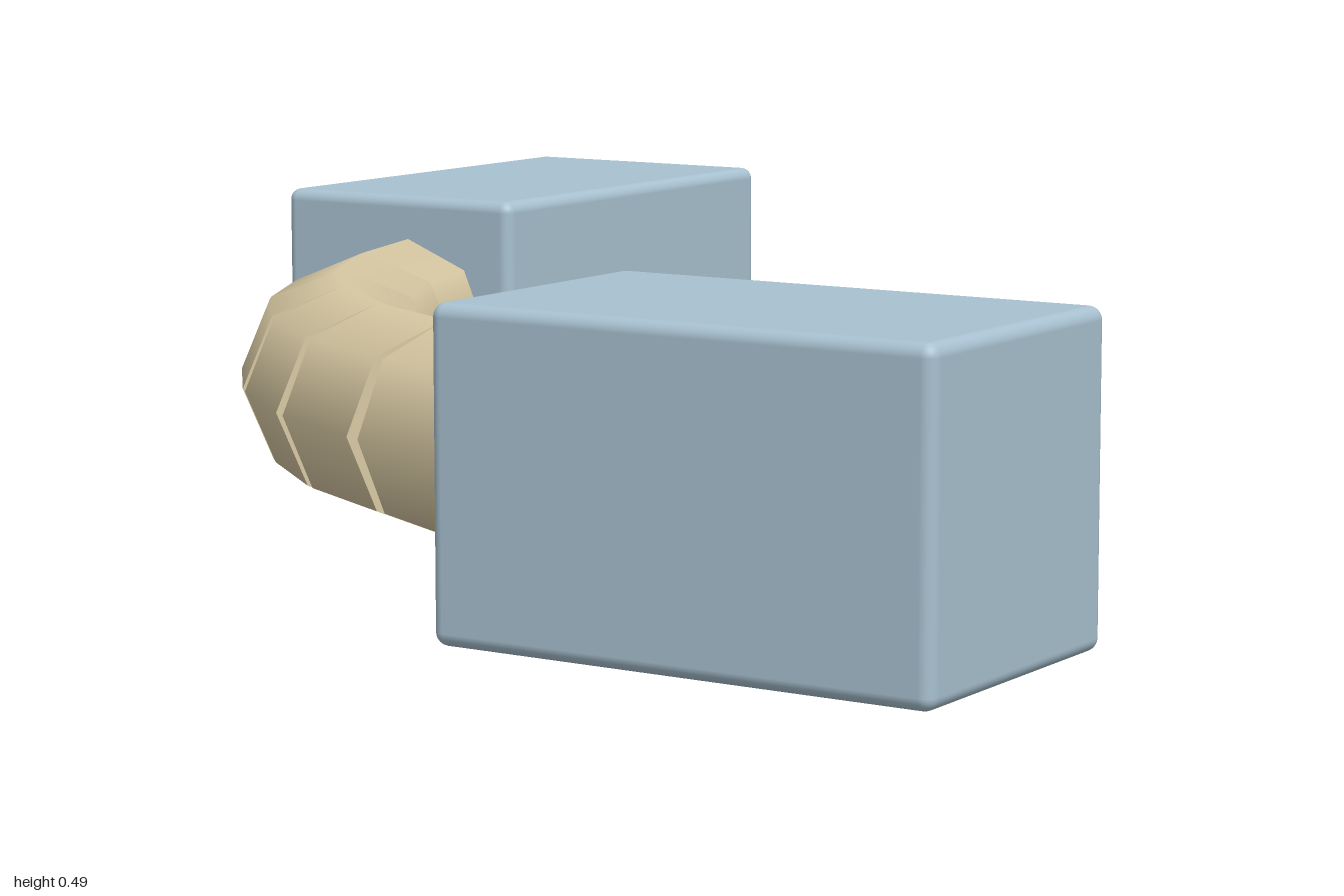
import * as THREE from 'three';
import { RoundedBoxGeometry } from 'three/addons/geometries/RoundedBoxGeometry.js';

export function createModel() {
  const model = new THREE.Group();
  model.name = 'bentPipeWithBlocks';

  const blue = new THREE.MeshStandardMaterial({ color: 0xa8c1d0 });
  blue.name = 'paleBlue';
  const sand = new THREE.MeshStandardMaterial({ color: 0xd8c9a3 });
  sand.name = 'sand';

  // Two identical rounded end blocks at right angles to each other
  const thick = 0.485, long = 0.803, axis = 1 - thick / 2, far = 1 - long / 2;
  const blockGeo = new RoundedBoxGeometry(thick, thick, long, 4, 0.02);
  const addBlock = (name, x, z, turn) => {
    const block = new THREE.Mesh(blockGeo, blue);
    block.name = name;
    block.position.set(x, thick / 2, z);
    block.rotation.y = turn;
    model.add(block);
  };
  addBlock('backBlock', -axis, -far, 0);
  addBlock('frontBlock', far, axis, Math.PI / 2);

  // Quarter-circle elbow of straight eight-sided sections, open at the outer bend
  const count = 8, bend = 1.2, radius = 0.163;
  const centre = bend - axis;
  const step = Math.PI / 2 / count;
  const sectionGeo = new THREE.CylinderGeometry(radius, radius, 2 * bend * Math.sin(step / 2), 8);
  sectionGeo.rotateX(Math.PI / 2);

  const elbow = new THREE.Group();
  elbow.name = 'elbow';
  for (let i = 0; i < count; i++) {
    const a = (i + 0.5) * step;
    const mid = bend * Math.cos(step / 2);
    const section = new THREE.Mesh(sectionGeo, sand);
    section.name = 'elbowSection' + (i + 1);
    section.position.set(centre - mid * Math.cos(a), 0.247, -centre + mid * Math.sin(a));
    section.rotation.y = a;
    elbow.add(section);
  }
  model.add(elbow);
  return model;
}
